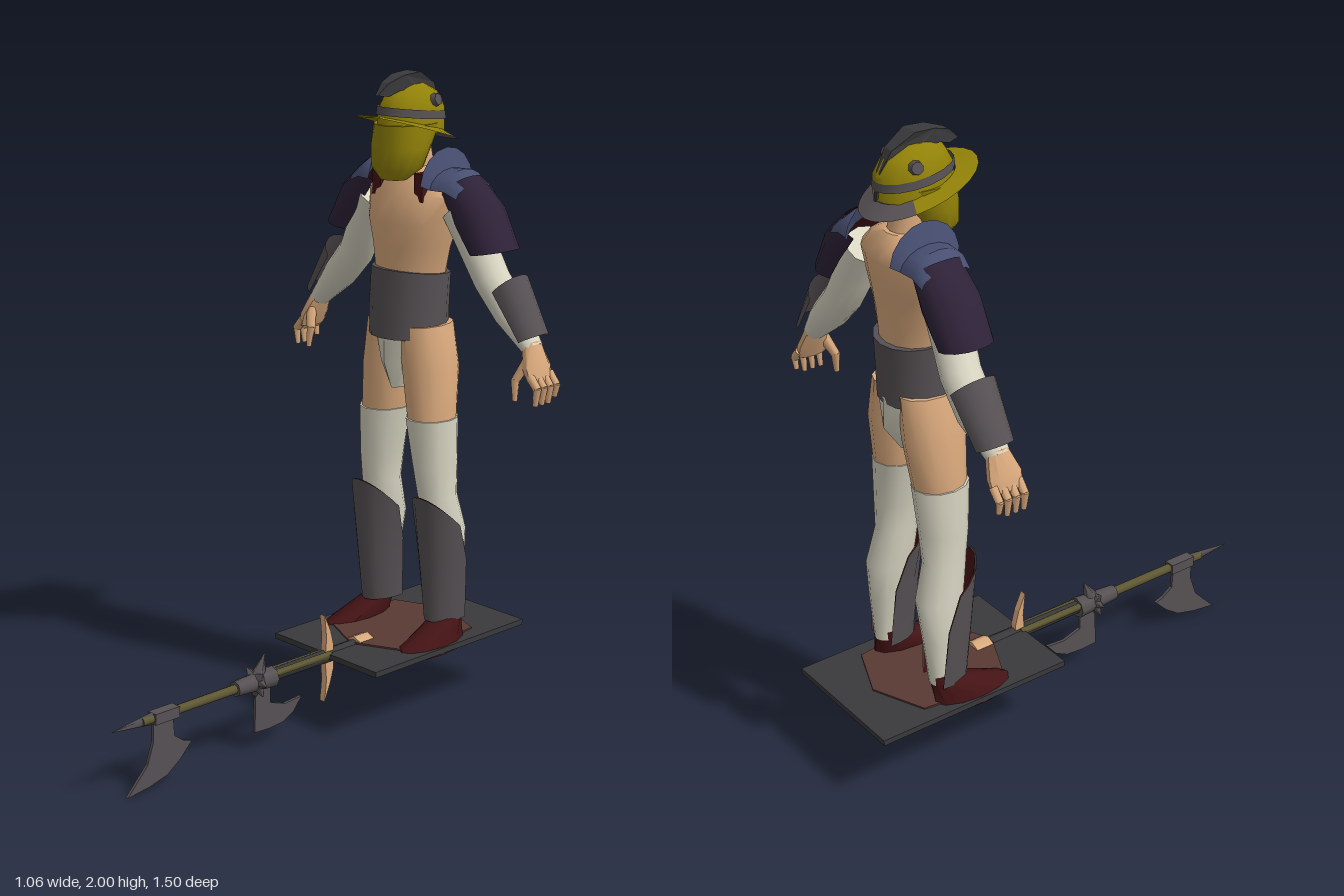
import * as THREE from 'three';
import { toCreasedNormals } from 'three/addons/utils/BufferGeometryUtils.js';

const paint = (name, color, side = THREE.FrontSide) => {
  const m = new THREE.MeshStandardMaterial({ color, side });
  m.name = name;
  return m;
};

export function createModel() {
  const model = new THREE.Group();
  model.name = 'armouredFighter';
  const D = THREE.DoubleSide;
  const skin = paint('skin', 0xdcab7e), cream = paint('cream cloth', 0xd9d6c3);
  const grey = paint('grey metal', 0x575154, D), dark = paint('dark grey', 0x3a3a3c, D);
  const gold = paint('gold', 0x928208, D), purple = paint('dark purple', 0x2e2238, D);
  const blue = paint('slate blue', 0x474e70, D), red = paint('dark red', 0x451315, D);
  const brown = paint('brown', 0x583a32), olive = paint('olive', 0x5f5833);

  const add = (name, geo, mat) => {
    const mesh = new THREE.Mesh(geo, mat);
    mesh.name = name;
    model.add(mesh);
    return mesh;
  };

  // Mirrors a non-indexed geometry in x and restores its winding
  function mirrored(geo) {
    const g = geo.clone();
    g.scale(-1, 1, 1);
    for (const key of ['position', 'normal']) {
      const a = g.attributes[key].array;
      for (let i = 0; i < a.length; i += 9)
        for (let k = 3; k < 6; k++) [a[i + k], a[i + k + 3]] = [a[i + k + 3], a[i + k]];
    }
    return g;
  }
  const pair = (name, geo, mat) => {
    const g = geo.index ? geo.toNonIndexed() : geo;
    add('left ' + name, g, mat);
    add('right ' + name, mirrored(g), mat);
  };

  // Skin over elliptical rings [x, y, z, rx, rz, tilt, front lift], listed upwards; an arc leaves it open
  function loft(rings, sides = 12, arc = null) {
    const pos = [], idx = [], cols = arc ? sides + 1 : sides;
    const [a0, a1] = arc || [0, Math.PI * 2];
    for (const [x, y, z, rx, rz, tilt = 0, lift = 0] of rings)
      for (let j = 0; j < cols; j++) {
        const a = a0 + (a1 - a0) * j / sides, u = Math.cos(a) * rx, v = Math.sin(a);
        pos.push(x + u * Math.cos(tilt), y + u * Math.sin(tilt) + v * lift, z + v * rz);
      }
    const n = rings.length;
    for (let i = 0; i < n - 1; i++)
      for (let j = 0; j < sides; j++) {
        const k = (j + 1) % cols, a = i * cols + j, b = i * cols + k;
        idx.push(a, a + cols, b, b, a + cols, b + cols);
      }
    if (!arc) {
      [0, n - 1].forEach((r, top) => {
        const c = pos.length / 3;
        pos.push(rings[r][0], rings[r][1], rings[r][2]);
        for (let j = 0; j < sides; j++) {
          const p = r * cols + j, q = r * cols + (j + 1) % cols;
          idx.push(c, top ? q : p, top ? p : q);
        }
      });
    }
    const g = new THREE.BufferGeometry();
    g.setAttribute('position', new THREE.Float32BufferAttribute(pos, 3));
    g.setIndex(idx);
    return toCreasedNormals(g, 0.7);
  }

  // Tapered rod between two points
  function rod(a, b, r0, r1, sides = 8) {
    const p = new THREE.Vector3(...a), q = new THREE.Vector3(...b), d = q.clone().sub(p);
    const g = new THREE.CylinderGeometry(r1, r0, d.length(), sides);
    g.applyQuaternion(new THREE.Quaternion().setFromUnitVectors(new THREE.Vector3(0, 1, 0), d.normalize()));
    const m = p.add(q).multiplyScalar(0.5);
    return g.translate(m.x, m.y, m.z);
  }
  // Plate cut from a side outline of [z, y] points
  function plate(points, thick) {
    const shape = new THREE.Shape(points.map(p => new THREE.Vector2(...p)));
    return new THREE.ExtrudeGeometry(shape, { depth: thick, bevelEnabled: false })
      .translate(0, 0, -thick / 2).rotateY(-Math.PI / 2);
  }
  const box = (w, h, d, x, y, z) => new THREE.BoxGeometry(w, h, d).translate(x, y, z);

  // Base board with its brown inlay
  add('baseBoard', box(0.45, 0.018, 0.66, 0, 0.23, -0.42), dark);
  const inlay = new THREE.Shape([[0, 0.64], [0.17, 0.57], [0.19, 0.42], [0.15, 0.27], [0, 0.2],
    [-0.15, 0.27], [-0.19, 0.42], [-0.17, 0.57]].map(p => new THREE.Vector2(...p)));
  add('baseInlay', new THREE.ExtrudeGeometry(inlay, { depth: 0.006, bevelEnabled: false })
    .rotateX(-Math.PI / 2).translate(0, 0.238, 0), brown);

  // Legs
  pair('boot', loft([[0.167, 0.215, -0.385, 0.056, 0.142], [0.163, 0.245, -0.395, 0.056, 0.13],
    [0.15, 0.295, -0.465, 0.045, 0.062], [0.145, 0.33, -0.485, 0.037, 0.045]]), red);
  pair('stocking', loft([[0.145, 0.3, -0.49, 0.032, 0.04], [0.14, 0.45, -0.485, 0.045, 0.06],
    [0.13, 0.58, -0.48, 0.058, 0.076], [0.122, 0.7, -0.455, 0.052, 0.07],
    [0.115, 0.8, -0.45, 0.062, 0.078], [0.1, 0.95, -0.447, 0.076, 0.088]]), cream);
  pair('thigh', loft([[0.1, 0.94, -0.449, 0.07, 0.083], [0.085, 1.1, -0.455, 0.08, 0.097],
    [0.066, 1.24, -0.45, 0.066, 0.1]]), skin);
  const greave = s => loft([[0.138, 0.3, -0.5, 0.055 * s, 0.1 * s], [0.138, 0.5, -0.485, 0.07 * s, 0.105 * s],
    [0.133, 0.63, -0.45, 0.082 * s, 0.087 * s, 0, 0.08]], 10, [-0.15, Math.PI + 0.15]);
  pair('greave', greave(1), grey);
  pair('greaveLining', greave(0.94), red);

  // Trunk
  add('loincloth', loft([[0, 1.035, -0.44, 0.02, 0.07], [0, 1.12, -0.452, 0.055, 0.115],
    [0, 1.22, -0.45, 0.1, 0.115]]), cream);
  add('belt', loft([[0, 1.2, -0.442, 0.122, 0.122], [0, 1.3, -0.444, 0.123, 0.122],
    [0, 1.4, -0.45, 0.125, 0.118, 0, 0.012]], 16), grey);
  add('torso', loft([[0, 1.38, -0.45, 0.112, 0.1], [0, 1.48, -0.452, 0.136, 0.1],
    [0, 1.55, -0.455, 0.162, 0.103], [0, 1.64, -0.47, 0.175, 0.1],
    [0, 1.69, -0.48, 0.12, 0.078], [0, 1.72, -0.475, 0.06, 0.06]], 16), skin);
  add('neck', loft([[0, 1.66, -0.475, 0.06, 0.06], [0, 1.8, -0.45, 0.052, 0.055]]), skin);

  // Arms and hands
  const t = 0.65;
  pair('sleeve', loft([[0.455, 1.222, -0.5, 0.03, 0.037, t], [0.37, 1.31, -0.503, 0.05, 0.06, t],
    [0.29, 1.4, -0.5, 0.055, 0.06, t], [0.235, 1.5, -0.49, 0.058, 0.062, t],
    [0.18, 1.6, -0.48, 0.06, 0.066, t]]), cream);
  pair('forearmGuard', loft([[0.445, 1.245, -0.505, 0.05, 0.06, 0.5], [0.345, 1.38, -0.505, 0.075, 0.072, 0.8]],
    8, [-1.5, 1.5]), grey);
  pair('palm', loft([[0.492, 1.13, -0.495, 0.018, 0.05, 0.2], [0.478, 1.17, -0.495, 0.026, 0.055, 0.3],
    [0.45, 1.235, -0.5, 0.028, 0.034, 0.5]], 10), skin);
  for (let i = 0; i < 4; i++) {
    const z = -0.455 - i * 0.028, drop = i === 3 ? 0.015 : 0;
    pair('fingerBase' + i, rod([0.488, 1.15, z], [0.518, 1.115, z], 0.014, 0.013, 6), skin);
    pair('fingerTip' + i, rod([0.518, 1.12, z], [0.512, 1.065 + drop, z], 0.013, 0.008, 6), skin);
  }
  pair('thumbBase', rod([0.465, 1.19, -0.47], [0.44, 1.13, -0.445], 0.018, 0.014, 6), skin);
  pair('thumbTip', rod([0.44, 1.135, -0.445], [0.445, 1.07, -0.44], 0.014, 0.008, 6), skin);

  // Shoulder armour
  const pauldron = s => loft([[0.305, 1.49, -0.492, 0.066 * s, 0.082 * s, 0.2],
    [0.24, 1.59, -0.492, 0.075 * s, 0.086 * s, 0.55],
    [0.17, 1.67, -0.49, 0.058 * s, 0.075 * s, 0.7]], 10, [-2.2, 2.2]);
  pair('pauldron', pauldron(1), purple);
  pair('pauldronLining', pauldron(0.95), red);
  pair('shoulderPlate', loft([[0.11, 1.66, -0.485, 0.12, 0.115, Math.PI / 2],
    [0.13, 1.655, -0.485, 0.065, 0.095, Math.PI / 2], [0.18, 1.655, -0.487, 0.068, 0.09, Math.PI / 2],
    [0.225, 1.64, -0.49, 0.045, 0.085, Math.PI / 2]], 8, [-1.45, 1.45]), blue);
  pair('strap', box(0.035, 0.085, 0.1, 0.088, 1.665, -0.435), red);

  // Helmet
  add('faceMask', loft([[0, 1.685, -0.37, 0.045, 0.04], [0, 1.72, -0.385, 0.083, 0.072],
    [0, 1.78, -0.4, 0.093, 0.088], [0, 1.85, -0.425, 0.088, 0.112]], 16), gold);
  add('helmetDome', loft([[0, 1.82, -0.44, 0.083, 0.122], [0, 1.89, -0.442, 0.08, 0.12],
    [0, 1.935, -0.44, 0.062, 0.095], [0, 1.965, -0.437, 0.03, 0.045]], 16), gold);
  const brim = arc => loft([[0, 1.845, -0.435, 0.082, 0.12, 0, 0.03],
    [0, 1.833, -0.425, 0.132, 0.178, 0, 0.053]], 16, arc);
  add('brimFront', brim([-0.5, Math.PI + 0.5]), gold);
  add('brimBack', brim([Math.PI + 0.5, Math.PI * 2 - 0.5]), grey);
  add('browBand', loft([[0, 1.865, -0.441, 0.085, 0.125, 0, 0.015],
    [0, 1.89, -0.442, 0.083, 0.123, 0, 0.015]], 16, [0, Math.PI * 2]), grey);
  pair('sideBoss', rod([0.06, 1.915, -0.475], [0.078, 1.92, -0.478], 0.022, 0.018), grey);
  const crest = plate([[-0.295, 1.94], [-0.33, 1.975], [-0.385, 1.995], [-0.45, 2], [-0.52, 1.96], [-0.555, 1.9],
    [-0.568, 1.82], [-0.54, 1.86], [-0.51, 1.92], [-0.44, 1.95], [-0.37, 1.95], [-0.33, 1.935]], 0.06);
  const cp = crest.attributes.position;
  for (let i = 0; i < cp.count; i++)
    cp.setX(i, cp.getX(i) * (0.15 + 0.85 * Math.sin(Math.PI * Math.min(1, (cp.getZ(i) + 0.57) / 0.28))));
  crest.computeVertexNormals();
  add('crest', crest, dark);

  // Polearm lying along z
  const Y = 0.222;
  add('shaft', rod([0, Y, -0.25], [0, Y, 0.64], 0.016, 0.014), olive);
  add('shaftSleeve', rod([0, Y + 0.004, -0.23], [0, Y + 0.004, 0.15], 0.023, 0.02), dark);
  pair('shaftRib', rod([0.014, Y + 0.012, -0.1], [0.014, Y + 0.012, 0.15], 0.012, 0.012, 6), olive);
  add('buttRod', rod([0, 0.215, -0.4], [0, 0.22, -0.24], 0.012, 0.014), dark);
  add('buttKnob', rod([0, 0.208, -0.415], [0, 0.212, -0.375], 0.01, 0.015), skin);
  add('gripCollar', rod([0, Y, -0.275], [0, Y, -0.215], 0.036, 0.036), skin);
  add('crossGuard', plate([[-0.08, 0.365], [-0.088, 0.29], [-0.082, 0.22], [-0.088, 0.15], [-0.08, 0.08],
    [-0.105, 0.14], [-0.118, 0.185], [-0.118, 0.26], [-0.105, 0.31]], 0.022), skin);
  add('spearTip', rod([0, Y, 0.6], [0, Y, 0.75], 0.02, 0.001, 6).scale(0.5, 1, 1), grey);
  add('headSocket', box(0.036, 0.034, 0.09, 0, Y, 0.555), grey);
  add('mainBlade', plate([[0.6, 0.21], [0.6, 0.15], [0.625, 0.08], [0.7, 0.002], [0.62, 0.012], [0.55, 0.03],
    [0.5, 0.065], [0.455, 0.11], [0.485, 0.12], [0.52, 0.145], [0.525, 0.21]], 0.01), grey);
  add('lowerBlade', plate([[0.2, 0.2], [0.205, 0.06], [0.15, 0.057], [0.09, 0.062], [0.045, 0.085], [0.012, 0.125],
    [0.08, 0.12], [0.14, 0.14], [0.14, 0.2]], 0.01), grey);
  add('hub', rod([0, Y, 0.13], [0, Y, 0.28], 0.034, 0.024), grey);
  for (let i = 0; i < 8; i++) {
    const a = i * Math.PI / 4, c = Math.cos(a), s = Math.sin(a), len = i === 2 ? 0.082 : 0.052;
    add('hubSpike' + i, rod([0, Y, 0.195], [c * len, Y + s * len, i === 2 ? 0.16 : 0.2], 0.03, 0.002, 5), grey);
  }
  return model;
}
